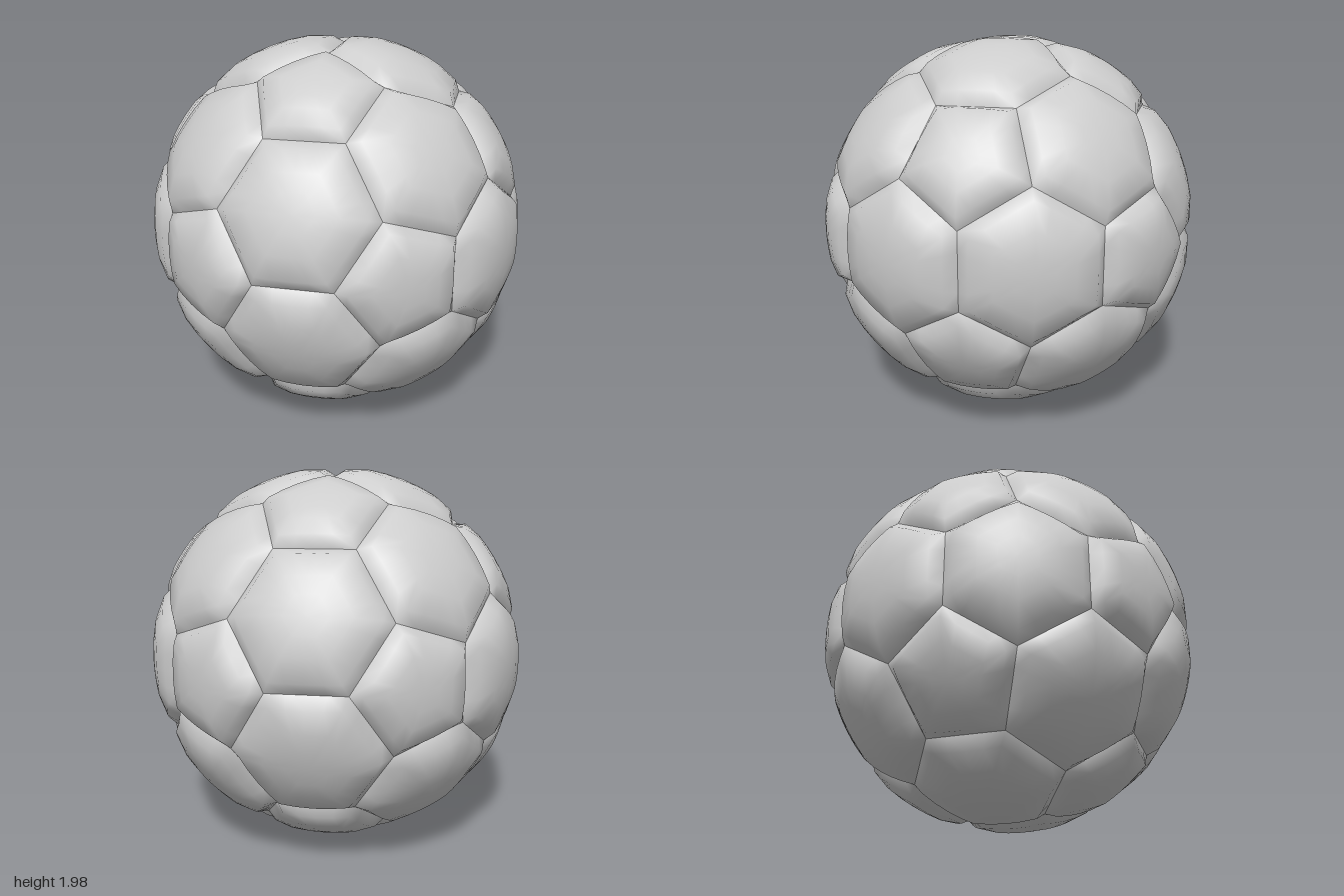
import * as THREE from 'three';
import { mergeVertices } from 'three/addons/utils/BufferGeometryUtils.js';

const SEAM = 0.958;                       // radius of the seam corners
const RINGS = [[0, 1.002], [0.25, 1.002], [0.5, 1.002], [0.82, 0.99], [1, 0]]; // [position, radius]
const DIVS = 4;                           // steps along each panel side

// Twelve icosahedron points with the poles on the z axis
function icosahedronPoints() {
  const pts = [new THREE.Vector3(0, 0, 1), new THREE.Vector3(0, 0, -1)];
  const r = 2 / Math.sqrt(5), z = 1 / Math.sqrt(5);
  for (let k = 0; k < 5; k++) {
    const a = k * Math.PI * 2 / 5, b = a + Math.PI / 5;
    pts.push(new THREE.Vector3(r * Math.cos(a), r * Math.sin(a), z));
    pts.push(new THREE.Vector3(r * Math.cos(b), r * Math.sin(b), -z));
  }
  return pts;
}

// Seam corner on the edge a-b, a third of the way from a
const corner = (a, b) => a.clone().lerp(b, 1 / 3).setLength(SEAM);

// One puffed panel with bevelled rim, bounded by straight seams
function panelGeometry(corners) {
  const centre = new THREE.Vector3();
  corners.forEach(c => centre.add(c));
  centre.divideScalar(corners.length);
  const axis = centre.clone().normalize();

  // sort the corners counter-clockwise as seen from outside
  const u = corners[0].clone().sub(centre).normalize();
  const v = axis.clone().cross(u);
  const angle = c => {
    const d = c.clone().sub(centre);
    return Math.atan2(d.dot(v), d.dot(u));
  };
  const loop = [...corners].sort((a, b) => angle(a) - angle(b));

  const rim = [];
  loop.forEach((c, i) => {
    const next = loop[(i + 1) % loop.length];
    for (let k = 0; k < DIVS; k++) rim.push(c.clone().lerp(next, k / DIVS));
  });

  const n = rim.length, positions = [], index = [];
  for (const [t, radius] of RINGS) {
    for (const e of rim) {
      const p = centre.clone().lerp(e, t);
      if (radius) p.setLength(radius);
      positions.push(p.x, p.y, p.z);
    }
  }
  for (let r = 0; r < RINGS.length - 1; r++) {
    for (let i = 0; i < n; i++) {
      const j = (i + 1) % n;
      const a = r * n + i, b = r * n + j, c = a + n, d = b + n;
      index.push(a, c, d);
      if (r > 0) index.push(a, d, b);
    }
  }
  let g = new THREE.BufferGeometry();
  g.setAttribute('position', new THREE.Float32BufferAttribute(positions, 3));
  g.setIndex(index);
  g = mergeVertices(g, 1e-5);
  g.computeVertexNormals();
  return g;
}

export function createModel() {
  const ball = new THREE.Group();
  ball.name = 'ball';
  const leather = new THREE.MeshStandardMaterial({ color: 0xcccccc });
  leather.name = 'light grey';

  const pts = icosahedronPoints();
  const near = (a, b) => a !== b && a.dot(b) > 0.4;
  const addPanel = (corners, name) => {
    const mesh = new THREE.Mesh(panelGeometry(corners), leather);
    mesh.name = name;
    mesh.position.y = 0.985;
    ball.add(mesh);
  };

  // five-sided panels around every icosahedron point
  pts.forEach(p => addPanel(pts.filter(q => near(p, q)).map(q => corner(p, q)), 'pentagonPanel'));

  // six-sided panels on every icosahedron face
  for (let i = 0; i < 12; i++) for (let j = i + 1; j < 12; j++) for (let k = j + 1; k < 12; k++) {
    const [a, b, c] = [pts[i], pts[j], pts[k]];
    if (!near(a, b) || !near(b, c) || !near(a, c)) continue;
    addPanel([corner(a, b), corner(b, a), corner(b, c), corner(c, b), corner(c, a), corner(a, c)], 'hexagonPanel');
  }
  return ball;
}
